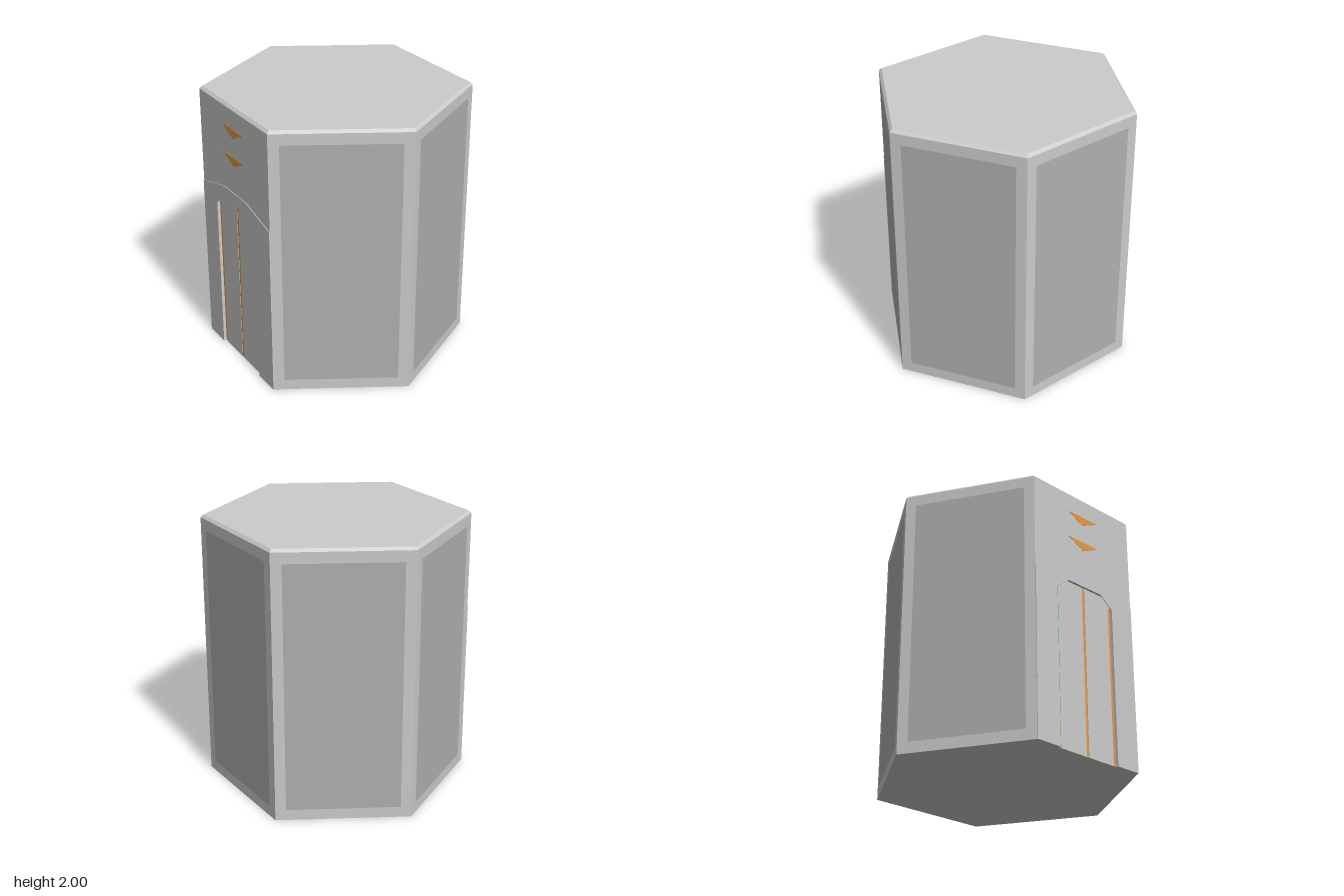
import * as THREE from 'three';

const R = 0.962;                       // corner radius of the hexagon
const A = R * Math.sqrt(3) / 2;        // distance from the axis to each wall
const H = 1.98;                        // wall height below the bevelled rim
const NOTCH_TOP = 1.27;

const material = (color) => new THREE.MeshStandardMaterial({ color, flatShading: true });

const shapeOf = (points) => new THREE.Shape(points.map(([x, y]) => new THREE.Vector2(x, y)));

export function createModel() {
  const group = new THREE.Group();
  const grey = material(0xcccccc);
  const panelGrey = material(0xb0b0b0);
  const amber = material(0xe89a40);

  const add = (name, geometry, mat) => {
    const mesh = new THREE.Mesh(geometry, mat);
    mesh.name = name;
    group.add(mesh);
    return mesh;
  };

  // Horizontal outline raised from y0 to y1
  const prism = (name, points, y0, y1) => {
    const g = new THREE.ExtrudeGeometry(shapeOf(points), { depth: y1 - y0, bevelEnabled: false });
    g.rotateX(-Math.PI / 2).translate(0, y0, 0);
    return add(name, g, grey);
  };

  // Upright outline (z, y) on the entrance wall, growing outwards along -x
  const onEntrance = (name, shape, x, depth, mat) => {
    const g = new THREE.ExtrudeGeometry(shape, { depth, bevelEnabled: false });
    g.rotateY(-Math.PI / 2).translate(x, 0, 0);
    return add(name, g, mat);
  };

  // Hexagonal body: the lower part has a shallow doorway notch on the -x wall
  const hex = [[0, -R], [A, -R / 2], [A, R / 2], [0, R], [-A, R / 2], [-A, -R / 2]];
  const notch = [[-A, 0.275], [-A + 0.02, 0.275], [-A + 0.02, -0.275], [-A, -0.275]];
  prism('lowerBody', [...hex.slice(0, 5), ...notch, hex[5]], 0, NOTCH_TOP);
  prism('upperBody', hex, NOTCH_TOP, H);

  // Bevelled roof rim
  const rim = new THREE.CylinderGeometry(R - 0.022, R, 2 - H, 6);
  rim.translate(0, (2 + H) / 2, 0);
  add('roofRim', rim, grey);

  // Wall panels on every side but the entrance
  for (const deg of [30, 90, 150, 210, 330]) {
    const g = new THREE.PlaneGeometry(0.81, 1.82);
    g.translate(0, 0.99, A + 0.001).rotateY(THREE.MathUtils.degToRad(deg));
    add('wallPanel', g, panelGrey);
  }

  // Raised door surround with an angular arch
  const surround = shapeOf([
    [-R / 2, 0], [-0.275, 0], [-0.275, 1.18], [-0.16, 1.265], [0.16, 1.265], [0.275, 1.18],
    [0.275, 0], [R / 2, 0], [R / 2, 1.27], [0.16, 1.355], [-0.16, 1.355], [-R / 2, 1.27],
  ]);
  onEntrance('doorSurround', surround, -A, 0.005, grey);

  // Glowing backing that shows through the gaps around the door leaves
  const backing = shapeOf([
    [-0.274, 0], [0.274, 0], [0.274, 1.18], [0.16, 1.264], [-0.16, 1.264], [-0.274, 1.18],
  ]);
  onEntrance('doorBacking', backing, -A + 0.02, 0.003, amber);

  // Pair of door leaves
  for (const s of [-1, 1]) {
    const leaf = shapeOf([
      [0.012, 0], [0.252, 0], [0.252, 1.19], [0.16, 1.262], [0.012, 1.262],
    ].map(([z, y]) => [s * z, y]));
    onEntrance('doorLeaf', leaf, -A + 0.017, 0.003, grey);
  }

  // Downward markers above the door
  for (const y of [1.84, 1.63]) {
    const marker = shapeOf([[-0.147, y], [0, y - 0.07], [0.147, y]]);
    onEntrance('marker', marker, -A, 0.002, amber);
  }

  return group;
}
